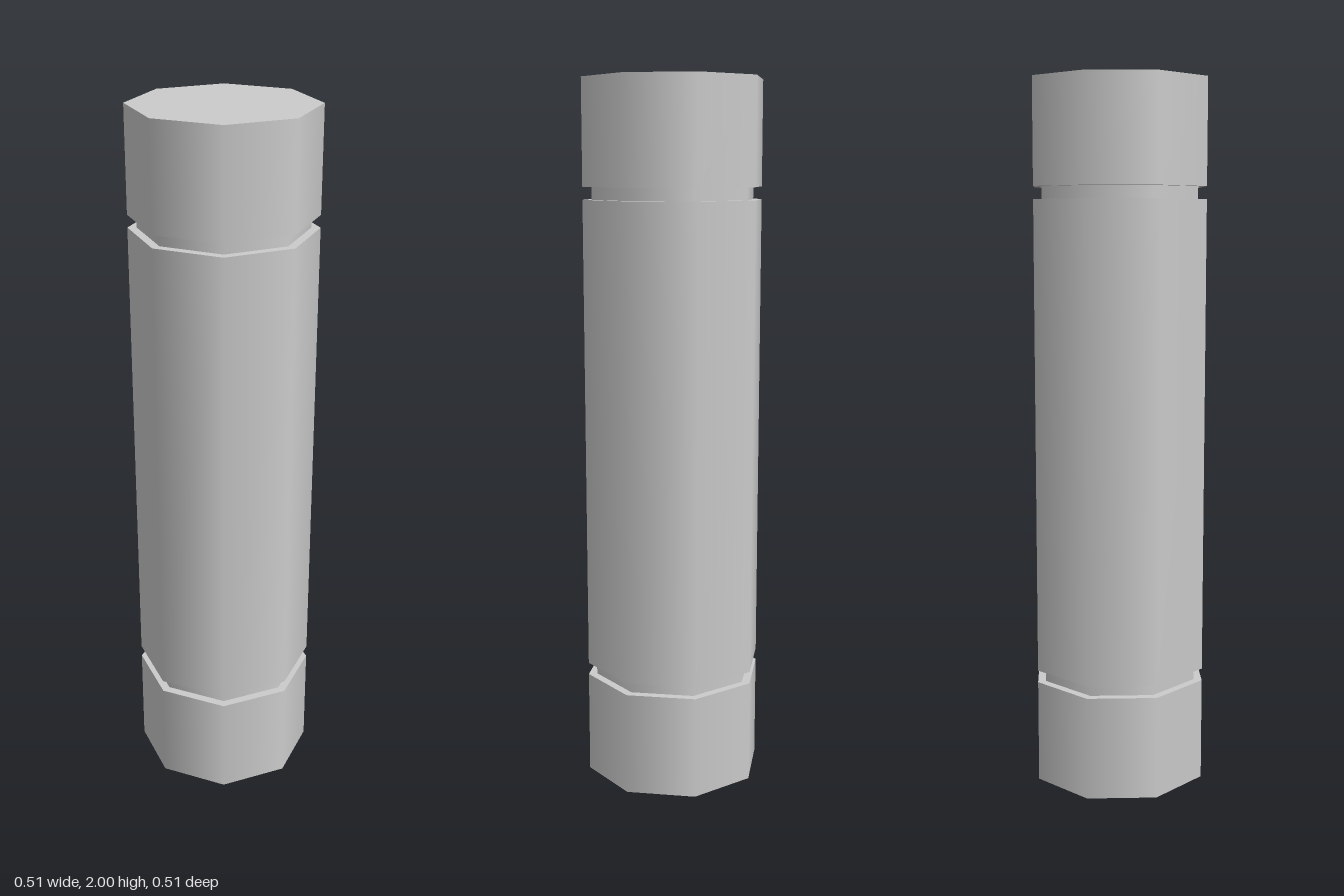
import * as THREE from 'three';

const SIDES = 8;
const RADIUS = 0.257;
const GROOVE_RADIUS = 0.232;

export function createModel() {
  const group = new THREE.Group();
  group.name = 'groovedColumn';
  const material = new THREE.MeshStandardMaterial({ color: 0xcccccc });

  // Eight-sided drum between two heights, smooth around its side
  const addDrum = (name, radius, bottom, top, open = false) => {
    const geometry = new THREE.CylinderGeometry(radius, radius, top - bottom, SIDES, 1, open);
    const mesh = new THREE.Mesh(geometry, material);
    mesh.name = name;
    mesh.position.y = (bottom + top) / 2;
    group.add(mesh);
  };

  // Wide drums: two end caps and the long shaft
  addDrum('bottomCap', RADIUS, 0, 0.296);
  addDrum('shaft', RADIUS, 0.331, 1.673);
  addDrum('topCap', RADIUS, 1.708, 2);

  // Recessed necks that form the grooves
  addDrum('lowerNeck', GROOVE_RADIUS, 0.296, 0.331, true);
  addDrum('upperNeck', GROOVE_RADIUS, 1.673, 1.708, true);

  return group;
}
